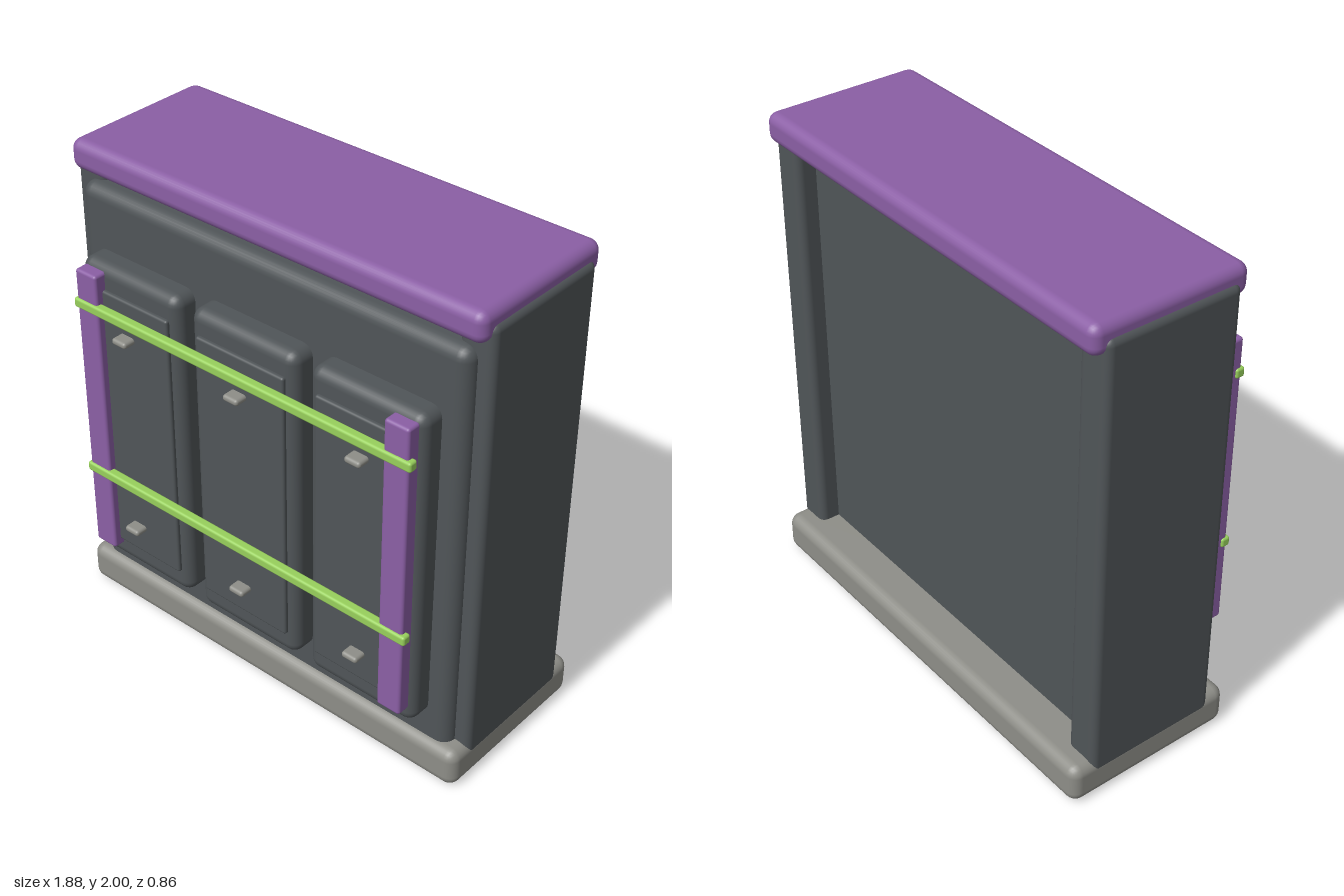
import * as THREE from 'three';
import { RoundedBoxGeometry } from 'three/addons/geometries/RoundedBoxGeometry.js';

function material(name, color) {
  const m = new THREE.MeshStandardMaterial({ color });
  m.name = name;
  return m;
}

export function createModel() {
  const dark = material('charcoal', 0x505558);
  const purple = material('purple', 0x8b5fa5);
  const green = material('lime green', 0x98d05c);
  const grey = material('warm grey', 0x8e8e88);

  const model = new THREE.Group();
  model.name = 'cabinet';

  // Rounded box given by its extents on each axis
  function block(name, mat, [x0, x1], [y0, y1], [z0, z1], radius, parent = model) {
    const geometry = new RoundedBoxGeometry(x1 - x0, y1 - y0, z1 - z0, 3, radius);
    const mesh = new THREE.Mesh(geometry, mat);
    mesh.name = name;
    mesh.position.set((x0 + x1) / 2, (y0 + y1) / 2, (z0 + z1) / 2);
    parent.add(mesh);
    return mesh;
  }

  // Carcass: plinth, body, side walls and lid
  block('base', grey, [-0.94, 0.94], [0, 0.165], [-0.425, 0.305], 0.045);
  block('body', dark, [-0.88, 0.88], [0.06, 1.85], [-0.26, 0.27], 0.05);
  block('rightSide', dark, [-0.94, -0.8], [0.1, 1.945], [-0.34, 0.22], 0.03);
  block('leftSide', dark, [0.8, 0.94], [0.1, 1.945], [-0.34, 0.22], 0.03);
  block('lid', purple, [-0.925, 0.925], [1.88, 2], [-0.385, 0.265], 0.04);

  // Three doors, each with a raised panel and two studs
  for (const x of [-0.555, -0.005, 0.545]) {
    const door = new THREE.Group();
    door.name = 'door';
    model.add(door);
    block('doorLeaf', dark, [x - 0.245, x + 0.245], [0.275, 1.61], [0.22, 0.365], 0.045, door);
    block('doorPanel', dark, [x - 0.205, x + 0.205], [0.375, 1.515], [0.33, 0.38], 0.01, door);
    for (const y of [0.5, 1.36]) {
      block('stud', grey, [x - 0.035, x + 0.035], [y - 0.013, y + 0.013], [0.36, 0.43], 0.012, door);
    }
  }

  // Upright straps
  for (const x of [-0.725, 0.715]) {
    block('upright', purple, [x - 0.052, x + 0.052], [0.345, 1.585], [0.35, 0.412], 0.012);
  }

  // Horizontal rails
  for (const y of [0.705, 1.445]) {
    block('rail', green, [-0.785, 0.785], [y - 0.02, y + 0.02], [0.383, 0.422], 0.01);
  }

  return model;
}
